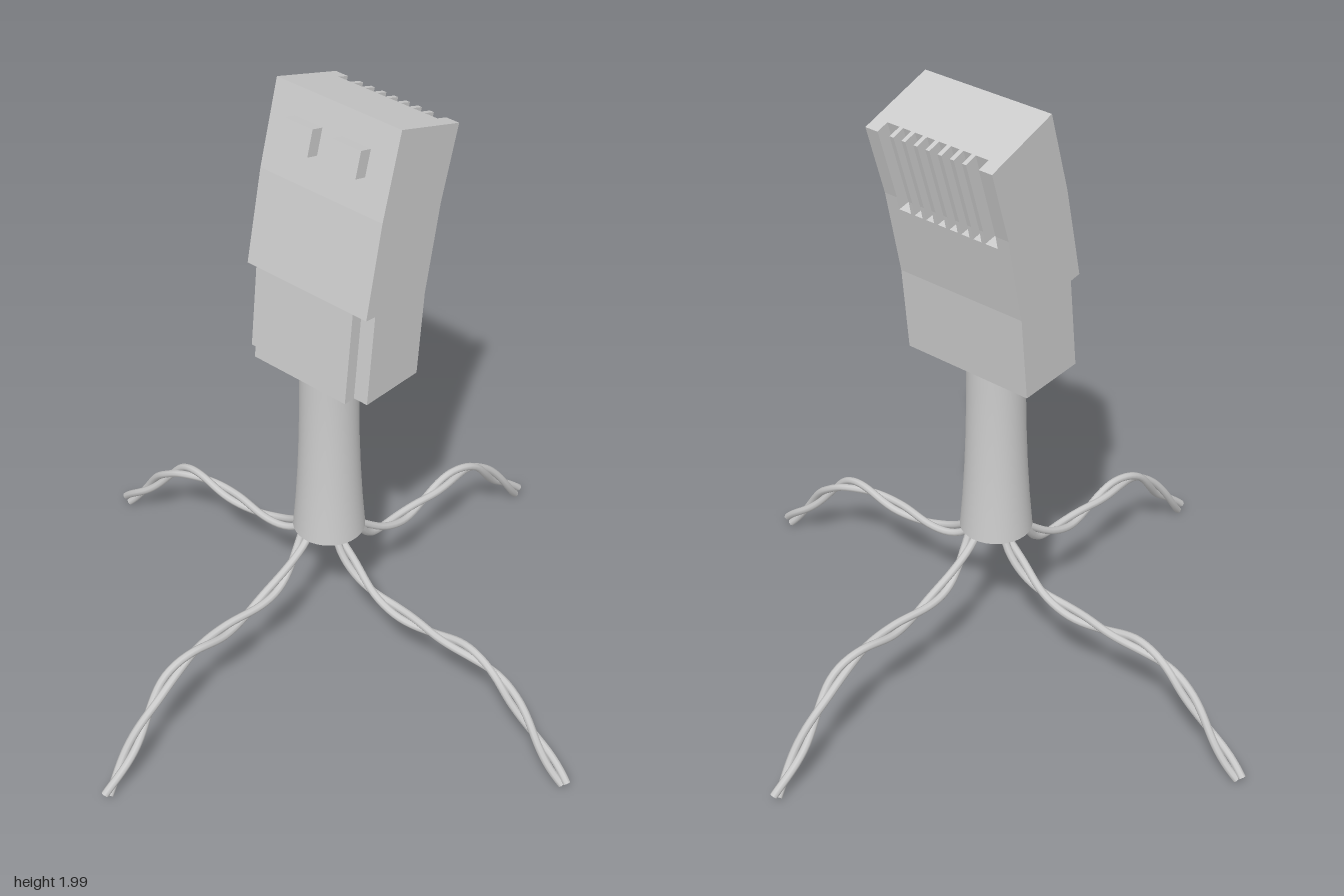
import * as THREE from 'three';

const material = new THREE.MeshStandardMaterial({ color: 0xcccccc });

// Side profile of the bent head: front and back edge as [z, y] per row
const FRONT = [[0.134, 1.13], [0.102, 1.43], [0.038, 1.724], [-0.038, 1.986]];
const BACK = [[-0.134, 1.119], [-0.161, 1.392], [-0.22, 1.67], [-0.29, 1.9]];

function edgeAt(edge, h) {
  const i = Math.min(Math.floor(h), 2);
  const t = h - i;
  return [0, 1].map(k => edge[i][k] + (edge[i + 1][k] - edge[i][k]) * t);
}

function add(parent, name, geometry) {
  const mesh = new THREE.Mesh(geometry, material);
  mesh.name = name;
  parent.add(mesh);
  return mesh;
}

const outline = points => points.map(p => new THREE.Vector2(p[0], p[1]));

// Extrude a plan (x, depth 0 front .. 1 back) through the rows and bend it
function headSection(points, levels, hole) {
  const shape = new THREE.Shape(outline(points));
  if (hole) shape.holes.push(new THREE.Path(outline(hole)));
  const steps = levels.length - 1;
  const geometry = new THREE.ExtrudeGeometry(shape, { depth: steps, steps, bevelEnabled: false });
  const pos = geometry.attributes.position;
  for (let i = 0; i < pos.count; i++) {
    const h = levels[Math.round(pos.getZ(i))];
    const d = pos.getY(i);
    const f = edgeAt(FRONT, h);
    const b = edgeAt(BACK, h);
    pos.setXYZ(i, pos.getX(i), f[1] + (b[1] - f[1]) * d, f[0] + (b[0] - f[0]) * d);
  }
  geometry.computeVertexNormals();
  return geometry;
}

function buildHead() {
  const head = new THREE.Group();
  head.name = 'head';
  const W = 0.228;

  // Hollow lower housing with notched front corners
  const N = 0.178;
  const notch = 0.15;
  add(head, 'lowerHousing', headSection(
    [[-N, 0], [N, 0], [N, notch], [W, notch], [W, 1], [-W, 1], [-W, notch], [-N, notch]],
    [0, 1],
    [[-0.16, 0.13], [-0.16, 0.9], [0.16, 0.9], [0.16, 0.13]]));

  // Plain middle
  add(head, 'middleHousing', headSection([[-W, 0], [W, 0], [W, 1], [-W, 1]], [1, 1.85]));

  // Upper part with eight grooves on the back
  const comb = [[-W, 0], [W, 0], [W, 1]];
  const pitch = 0.0435;
  const rib = 0.007;
  const floor = 0.84;
  for (let i = 0; i < 8; i++) {
    const right = i === 0 ? 0.182 : (4 - i) * pitch - rib;
    const left = i === 7 ? -0.182 : (3 - i) * pitch + rib;
    comb.push([right, 1], [right, floor], [left, floor], [left, 1]);
  }
  comb.push([-W, 1]);
  add(head, 'groovedHousing', headSection(comb, [1.85, 2, 3]));

  // Block eyes, square to the upper front face
  for (const side of [-1, 1]) {
    const eye = add(head, side > 0 ? 'leftEye' : 'rightEye', new THREE.BoxGeometry(0.102, 0.083, 0.09));
    eye.position.set(side * 0.088, 1.863, -0.005);
    eye.rotation.x = -0.28;
  }
  return head;
}

// Flared cable jacket, open at the bottom
function buildNeck() {
  const profile = [
    [0, 0.8], [0.085, 0.8], [0.09, 0.62], [0.1, 0.49], [0.115, 0.49], [0.106, 0.6],
    [0.099, 0.72], [0.094, 0.85], [0.092, 0.95], [0.091, 1.05], [0.092, 1.35], [0, 1.35],
  ];
  // Split at the sharp rims so that the long walls stay smooth
  const neck = new THREE.Group();
  neck.name = 'neck';
  const runs = { boreTop: [0, 2], bore: [1, 4], rim: [3, 5], jacket: [4, 11], neckTop: [10, 12] };
  for (const [name, [a, b]] of Object.entries(runs)) {
    add(neck, name, new THREE.LatheGeometry(outline(profile.slice(a, b)), 32));
  }
  return neck;
}

// One wire of a twisted pair, winding around the leg path
class TwistedCurve extends THREE.Curve {
  constructor(path, phase) {
    super();
    this.path = path;
    this.phase = phase;
  }
  getPoint(t, target = new THREE.Vector3()) {
    const p = this.path.getPointAt(t);
    const tangent = this.path.getTangentAt(t);
    const a = this.phase + t * Math.PI * 2 * 3;
    const r = 0.0125;
    return target.set(
      p.x - tangent.y * r * Math.cos(a),
      p.y + tangent.x * r * Math.cos(a),
      p.z + r * Math.sin(a));
  }
}

function buildLeg() {
  const leg = new THREE.Group();
  const path = new THREE.CatmullRomCurve3([
    [0.03, 0.8], [0.04, 0.6], [0.065, 0.49], [0.12, 0.415], [0.2, 0.35], [0.31, 0.32],
    [0.45, 0.318], [0.6, 0.327], [0.7, 0.3], [0.78, 0.235], [0.88, 0.125], [0.985, 0.016],
  ].map(([x, y]) => new THREE.Vector3(x, y, 0.034)));
  for (const phase of [0, Math.PI]) {
    const curve = new TwistedCurve(path, phase);
    add(leg, 'wire', new THREE.TubeGeometry(curve, 64, 0.0125, 8, false));
    const cap = add(leg, 'wireEnd', new THREE.CircleGeometry(0.0125, 8));
    const end = curve.getPoint(1);
    cap.position.copy(end);
    cap.lookAt(end.clone().add(curve.getTangent(1)));
  }
  return leg;
}

export function createModel() {
  const model = new THREE.Group();
  model.name = 'cableCreature';
  model.add(buildHead(), buildNeck());
  // Four legs, a quarter turn apart
  ['leftLeg', 'backLeg', 'rightLeg', 'frontLeg'].forEach((name, i) => {
    const leg = buildLeg();
    leg.name = name;
    leg.rotation.y = i * Math.PI / 2;
    model.add(leg);
  });
  return model;
}
